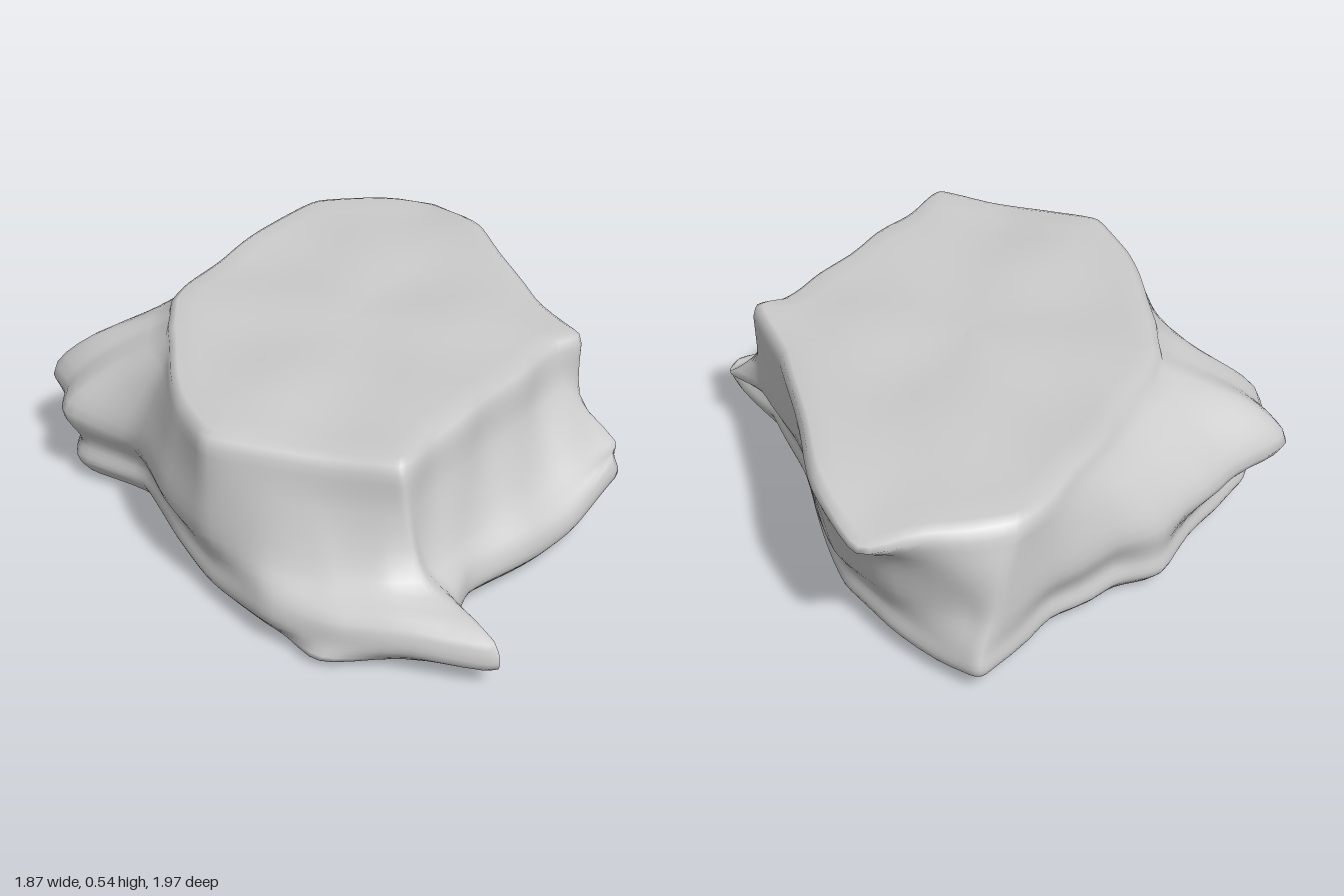
import * as THREE from 'three';

// Outlines as x, z pairs, all starting at the back point and running clockwise from above.
const skirt = [
  -.27, -.84, -.05, -.75, .18, -.56, .39, -.38, .64, -.2, .83, -.17, .81, .02, .78, .25, .70, .53,
  .74, .70, .93, .81, .70, .88, .50, .95, .27, .95, .04, .87, -.18, .74, -.44, .56, -.70, .54,
  -.78, .42, -.82, .31, -.80, .10, -.81, -.2, -.72, -.32, -.64, -.55, -.61, -.85, -.53, -.87];
const shoulder = [
  -.27, -.86, -.04, -.78, .19, -.58, .41, -.39, .64, -.25, .79, -.23, .72, .02, .68, .28, .64, .53,
  .64, .67, .66, .73, .57, .80, .43, .86, .22, .88, .02, .87, -.2, .76, -.45, .58, -.74, .56,
  -.82, .45, -.93, .36, -.86, .12, -.80, -.2, -.73, -.34, -.66, -.55, -.60, -.80, -.52, -.82];
const rim = [
  -.28, -1, -.03, -.85, .20, -.63, .41, -.41, .64, -.26, .61, -.16, .60, 0, .58, .30, .57, .53,
  .57, .66, .56, .70, .50, .72, .33, .77, .16, .81, 0, .84, -.17, .72, -.36, .50, -.47, .37,
  -.53, .27, -.57, .20, -.60, .06, -.62, -.14, -.64, -.38, -.64, -.56, -.62, -.72, -.46, -.87];

const STEPS = 5; // samples between neighbouring outline points

// Closed ring through an outline, with tight corners.
function ring(outline) {
  const pts = [];
  for (let i = 0; i < outline.length; i += 2) pts.push(new THREE.Vector3(outline[i], 0, outline[i + 1]));
  const curve = new THREE.CatmullRomCurve3(pts, true, 'catmullrom', .3);
  return Array.from({ length: pts.length * STEPS }, (_, i) => curve.getPoint(i / (pts.length * STEPS)));
}

// Copy of a ring at a height given by a number or by a rule.
const level = (points, y, scale = 1) => points.map(p =>
  new THREE.Vector3(p.x * scale, typeof y === 'function' ? y(p) : y, p.z * scale));

// Soft local weight around a spot on the ground plan.
const near = (p, x, z, r) => Math.exp(-((p.x - x) ** 2 + (p.z - z) ** 2) / (r * r));

// Gentle, repeatable weathering of the stone.
function weather(p) {
  const { x, y, z } = p;
  const a = Math.sin(9 * x + 4 * z + 5 * y) * Math.sin(8 * z - 5 * x + 1);
  const b = Math.sin(13 * x - 8 * z) * Math.sin(12 * z + 9 * y + 2);
  p.x += .008 * b;
  p.z += .006 * a;
  p.y += .006 * a + .004 * b;
  return p;
}

function rockGeometry() {
  const low = ring(skirt), mid = ring(shoulder), top = ring(rim);
  const n = low.length;

  // Foot: lip along the front, undercut below the side knob and the front spike
  const foot = level(low, .03, .96);
  for (const p of foot) {
    if (p.z > .6) p.z += .06 * Math.exp(-(((p.x - .48) / .12) ** 2));
    p.x -= .13 * near(p, .8, -.17, .16) + .12 * near(p, .9, .78, .12);
  }

  // Shallow slope on the left, steep wall on the right, overhang at the back point
  const upper = mid.map((p, i) => {
    const t = .62 + .3 * p.x - .25 * near(p, -.27, -.86, .2);
    return p.clone().lerp(top[i], t).setY(.38);
  });
  const skirtY = p => .075 + .06 * near(p, .83, -.17, .15);
  const side = [
    foot,
    level(low, skirtY),
    level(low, p => skirtY(p) + .065, .985),
    level(mid, p => .225 - .02 * p.x),
    upper,
    level(top, p => .49 - .02 * near(p, -.28, -1, .15)),
  ];
  const topY = p => .535 - .04 * near(p, -.28, -1, .18) - .01 * near(p, .3, .8, .3);

  // Rows from the centre of the underside, up the sides, to the centre of the top
  const rows = [0, .3, .6, .85, .95].map(s => level(foot, .012, s));
  const columns = foot.map((_, i) => new THREE.CatmullRomCurve3(side.map(r => r[i])));
  for (let j = 0; j <= 20; j++) rows.push(columns.map(c => c.getPoint(j / 20)));
  rows.push(level(top, p => topY(p) - .012, .985));
  for (const s of [.95, .85, .7, .55, .4, .25, .12, 0]) {
    rows.push(level(top, p => topY({ x: p.x * s, z: p.z * s }), s));
  }

  const positions = [], index = [];
  for (const row of rows) for (const p of row) positions.push(...weather(p).toArray());
  for (let j = 0; j < rows.length - 1; j++) {
    for (let i = 0; i < n; i++) {
      const a = j * n + i, b = a + n, c = j * n + (i + 1) % n, d = c + n;
      if (j > 0) index.push(a, b, c);
      if (j < rows.length - 2) index.push(c, b, d);
    }
  }
  const geometry = new THREE.BufferGeometry();
  geometry.setAttribute('position', new THREE.Float32BufferAttribute(positions, 3));
  geometry.setIndex(index);
  geometry.computeVertexNormals();

  // Stand on the ground
  geometry.computeBoundingBox();
  geometry.translate(0, -geometry.boundingBox.min.y, 0);
  return geometry;
}

export function createModel() {
  const group = new THREE.Group();
  group.name = 'rock';
  const slab = new THREE.Mesh(rockGeometry(), new THREE.MeshStandardMaterial({ color: 0xcccccc }));
  slab.name = 'rockSlab';
  group.add(slab);
  return group;
}
